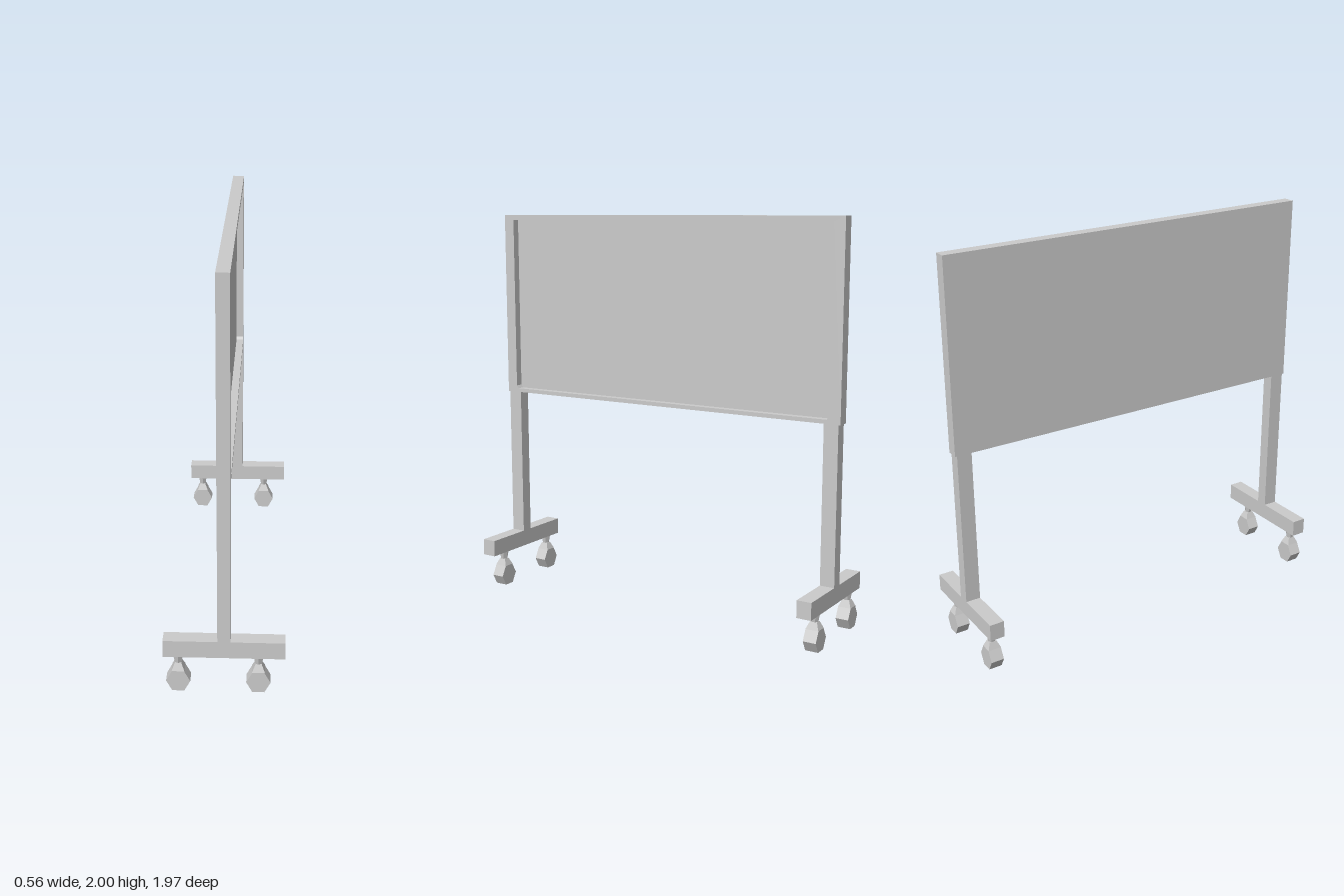
import * as THREE from 'three';

const material = new THREE.MeshStandardMaterial({ color: 0xcccccc, flatShading: true });

function add(parent, name, geometry, x = 0, y = 0, z = 0) {
  const mesh = new THREE.Mesh(geometry, material);
  mesh.name = name;
  mesh.position.set(x, y, z);
  parent.add(mesh);
  return mesh;
}

const outline = (points) => points.map(([x, y]) => new THREE.Vector2(x, y));

// Rectangular frustum, given half widths at the top and bottom
function frustum(topX, topZ, bottomX, bottomZ, height) {
  const geometry = new THREE.BoxGeometry(2, height, 2);
  const p = geometry.attributes.position;
  for (let i = 0; i < p.count; i++) {
    const top = p.getY(i) > 0;
    p.setX(i, p.getX(i) * (top ? topX : bottomX));
    p.setZ(i, p.getZ(i) * (top ? topZ : bottomZ));
  }
  geometry.computeVertexNormals();
  return geometry;
}

function createCaster() {
  const caster = new THREE.Group();
  caster.name = 'caster';
  add(caster, 'casterNeck', new THREE.CylinderGeometry(0.027, 0.018, 0.045, 6), 0, 0.1625);
  add(caster, 'casterFork', frustum(0.015, 0.018, 0.03, 0.033, 0.035), 0, 0.1225);
  // Hexagonal wheel with flat top and bottom
  const wheel = new THREE.CylinderGeometry(0.056, 0.056, 0.066, 6);
  wheel.rotateY(Math.PI / 6).rotateX(Math.PI / 2).scale(1, 1.083, 1);
  add(caster, 'casterWheel', wheel, 0, 0.0525);
  return caster;
}

export function createModel() {
  const model = new THREE.Group();
  model.name = 'rollingBoard';

  // Frame around the board, open towards +x, with cut lower corners
  const frame = new THREE.Shape(outline([[-0.983, 1.05], [0.983, 1.05], [0.983, 2], [-0.983, 2]]));
  frame.holes.push(new THREE.Path(outline([
    [-0.914, 1.07], [-0.925, 1.085], [-0.925, 1.975], [0.925, 1.975], [0.925, 1.085], [0.914, 1.07],
  ])));
  const frameGeometry = new THREE.ExtrudeGeometry(frame, { depth: 0.06, bevelEnabled: false });
  frameGeometry.rotateY(Math.PI / 2);
  add(model, 'boardFrame', frameGeometry, -0.03);

  // Board panel, flush with the frame on the -x side
  add(model, 'boardPanel', new THREE.BoxGeometry(0.022, 0.905, 1.85), -0.019, 1.5225, 0);

  // Leg and foot in one inverted T, with two casters each
  const stand = new THREE.Shape(outline([
    [-0.28, 0.185], [0.28, 0.185], [0.28, 0.27], [0.03, 0.27],
    [0.03, 1.05], [-0.03, 1.05], [-0.03, 0.27], [-0.28, 0.27],
  ]));
  const standGeometry = new THREE.ExtrudeGeometry(stand, { depth: 0.074, bevelEnabled: false });
  standGeometry.translate(0, 0, -0.037);
  for (const z of [0.936, -0.936]) {
    add(model, z > 0 ? 'frontStand' : 'backStand', standGeometry, 0, 0, z);
    for (const x of [-0.212, 0.158]) {
      const caster = createCaster();
      caster.position.set(x, 0, z);
      model.add(caster);
    }
  }
  return model;
}
